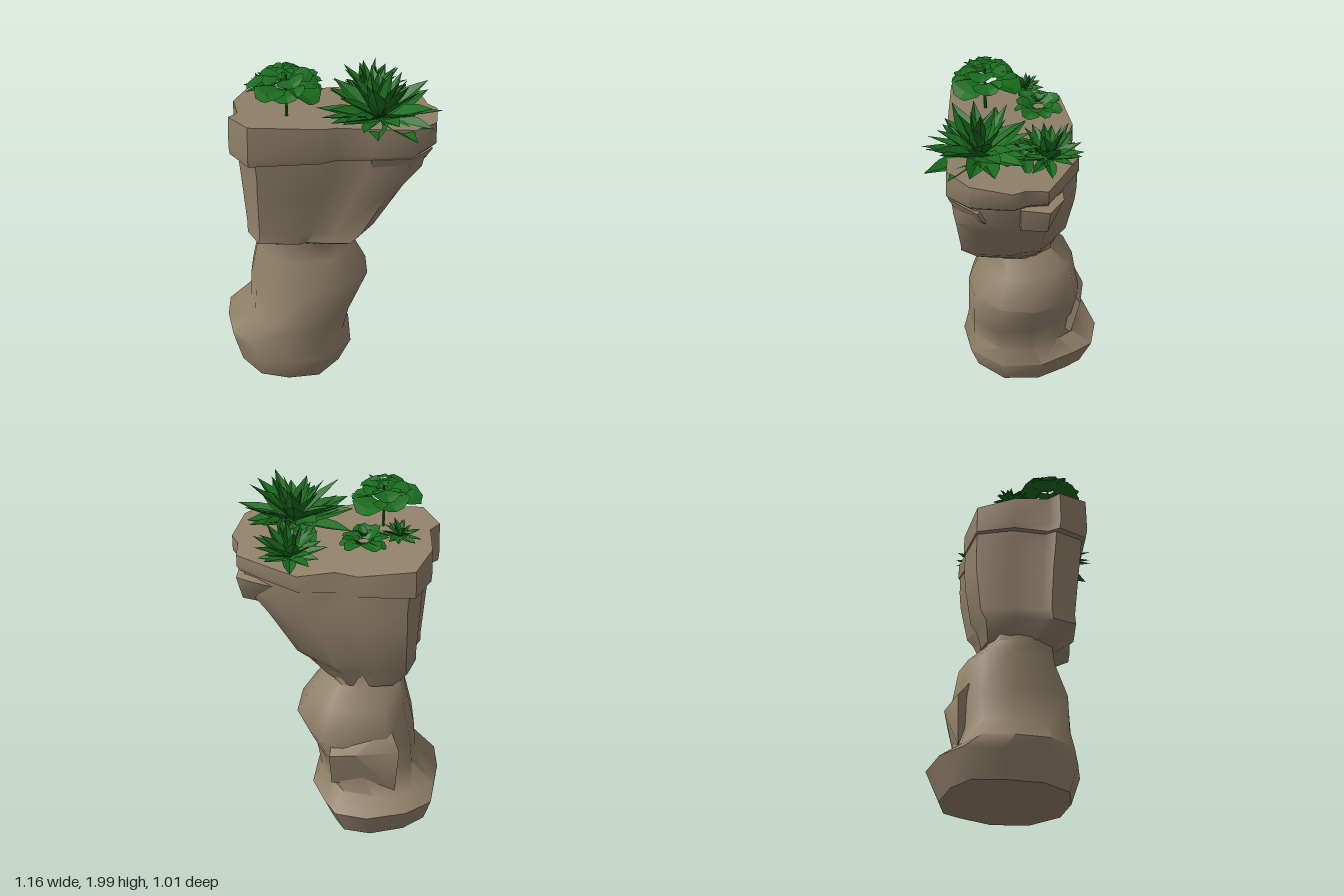
import * as THREE from 'three';
import { mergeGeometries, toCreasedNormals } from 'three/addons/utils/BufferGeometryUtils.js';
import { ConvexGeometry } from 'three/addons/geometries/ConvexGeometry.js';

const stone = new THREE.MeshStandardMaterial({ color: 0x92826a });
stone.name = 'stone';
const leafGreen = new THREE.MeshStandardMaterial({ color: 0x196b1d, flatShading: true, side: THREE.DoubleSide });
leafGreen.name = 'leaf green';

let seed = 7;
function rand() {
  seed = (seed * 16807) % 2147483647;
  return seed / 2147483647;
}

// Outlines as seen from above, counterclockwise, in a -1..1 box
const legOutline = [[-0.94, -0.62], [-1, -0.12], [-0.95, 0.45], [-0.62, 0.88], [-0.1, 1], [0.5, 0.93],
  [0.95, 0.5], [1, -0.1], [0.76, -0.6], [0.58, -0.88], [0.08, -1], [-0.55, -0.88]];
const potOutline = [[-0.78, -0.9], [-0.93, -0.35], [-0.91, 0.18], [-1, 0.34], [-0.84, 0.8], [-0.16, 0.91],
  [-0.03, 0.86], [0.3, 0.94], [0.7, 1], [0.92, 0.7], [1, 0.1], [0.93, -0.1], [0.92, -0.42],
  [0.68, -0.65], [0.32, -0.98], [-0.03, -0.88], [-0.25, -1]];

// Skins a stack of levels: [y, xMin, xMax, zMin, zMax, slope in x, slope in z]
function loft(outline, levels, crease) {
  const n = outline.length, pos = [], index = [];
  for (const [y, x0, x1, z0, z1, sx = 0, sz = 0] of levels) {
    for (const [u, v] of outline) {
      pos.push((x0 + x1) / 2 + u * (x1 - x0) / 2, y + sx * u + sz * v, (z0 + z1) / 2 + v * (z1 - z0) / 2);
    }
  }
  for (let k = 0; k < levels.length - 1; k++) {
    for (let i = 0; i < n; i++) {
      const a = k * n + i, b = k * n + (i + 1) % n;
      index.push(a, b, b + n, a, b + n, a + n);
    }
  }
  // Caps fan out from a centre point
  for (const [k, top] of [[0, false], [levels.length - 1, true]]) {
    const [y, x0, x1, z0, z1] = levels[k], c = pos.length / 3;
    pos.push((x0 + x1) / 2, y, (z0 + z1) / 2);
    for (let i = 0; i < n; i++) {
      const a = k * n + i, b = k * n + (i + 1) % n;
      index.push(c, top ? a : b, top ? b : a);
    }
  }
  const g = new THREE.BufferGeometry();
  g.setAttribute('position', new THREE.Float32BufferAttribute(pos, 3));
  g.setIndex(index);
  return toCreasedNormals(g, crease);
}

// Folded leaf pointing along +x, tilted by pitch and bent by curl
function leaf(length, width, pitch, curl, profile, fold) {
  const pos = [], index = [];
  let x = 0, y = 0;
  profile.forEach((w, i) => {
    const a = pitch + curl * i / 3, half = w * width / 2;
    if (i) {
      x += Math.cos(a) * length / 3;
      y += Math.sin(a) * length / 3;
    }
    const ex = x - Math.sin(a) * half * fold, ey = y + Math.cos(a) * half * fold;
    pos.push(ex, ey, half, x, y, 0, ex, ey, -half);
    if (i < 3) {
      for (const b of [i * 3, i * 3 + 1]) index.push(b, b + 3, b + 4, b, b + 4, b + 1);
    }
  });
  const g = new THREE.BufferGeometry();
  g.setAttribute('position', new THREE.Float32BufferAttribute(pos, 3));
  g.setIndex(index);
  g.computeVertexNormals();
  return g;
}

const pointed = { profile: [0.4, 1, 0.75, 0], fold: 0.4, curl: 0.1 };
const broad = { profile: [0.5, 1, 0.95, 0.4], fold: 0.25, curl: -0.6 };

// Rings of leaves: [count, length, width, pitch, height, start radius]
function rosette(name, [x, y, z], shape, rings) {
  const leaves = [];
  rings.forEach(([count, length, width, pitch, lift = 0, radius = 0], r) => {
    for (let i = 0; i < count; i++) {
      const g = leaf(length * (0.85 + 0.3 * rand()), width * (0.85 + 0.3 * rand()),
        pitch + 0.3 * (rand() - 0.5), shape.curl, shape.profile, shape.fold);
      g.rotateX(0.6 * (rand() - 0.5));
      g.translate(radius, lift, 0);
      g.rotateY((i + r * 0.5 + 0.4 * rand()) * Math.PI * 2 / count);
      leaves.push(g);
    }
  });
  const mesh = new THREE.Mesh(mergeGeometries(leaves), leafGreen);
  mesh.name = name;
  mesh.position.set(x, y, z);
  return mesh;
}

export function createModel() {
  seed = 7;
  const model = new THREE.Group();
  model.name = 'planter';
  const add = (name, geometry, material = stone) => {
    const mesh = new THREE.Mesh(geometry, material);
    mesh.name = name;
    model.add(mesh);
    return mesh;
  };

  // Pedestal with a bulging foot, a knee and a narrow neck
  add('pedestal', loft(legOutline, [
    [0.025, -0.53, 0.07, -0.44, 0.24, -0.025],
    [0.18, -0.57, 0.14, -0.51, 0.29, -0.02, -0.01],
    [0.26, -0.585, 0.09, -0.39, 0.26, -0.01],
    [0.4, -0.45, 0.12, -0.36, 0.26],
    [0.6, -0.44, 0.23, -0.38, 0.26, 0.03, 0.03],
    [0.8, -0.39, 0.14, -0.34, 0.19],
    [0.89, -0.37, 0.06, -0.23, 0.17],
    [1.02, -0.36, 0.1, -0.22, 0.18],
  ], 0.95));

  // Flaring pot
  add('pot', loft(potOutline, [
    [0.9, -0.36, 0.07, -0.23, 0.17],
    [0.99, -0.46, 0.18, -0.26, 0.31],
    [1.05, -0.46, 0.25, -0.29, 0.31],
    [1.3, -0.48, 0.41, -0.32, 0.34],
    [1.42, -0.49, 0.51, -0.32, 0.355],
    [1.55, -0.505, 0.54, -0.32, 0.365],
  ], 0.95));

  // Overhanging rim with a sloping soil top
  add('rim', loft(potOutline, [
    [1.525, -0.54, 0.56, -0.327, 0.38, 0.025],
    [1.56, -0.545, 0.58, -0.327, 0.39, 0.01],
    [1.68, -0.54, 0.58, -0.325, 0.385, -0.025, 0.045],
  ], 0.95));

  // Broken ledges of rock
  const chunk = (name, points) =>
    add(name, toCreasedNormals(new ConvexGeometry(points.map(p => new THREE.Vector3(...p))), 0.8));
  chunk('sideLedge', [[0.53, 1.53, 0.02], [0.54, 1.51, -0.13], [0.45, 1.53, -0.21], [0.51, 1.38, -0.12],
    [0.52, 1.4, 0.02], [0.3, 1.53, 0.05], [0.3, 1.5, -0.22], [0.33, 1.3, -0.05]]);
  chunk('frontLedge', [[0.18, 1.53, 0.36], [0.4, 1.54, 0.38], [0.53, 1.52, 0.24], [0.5, 1.44, 0.2],
    [0.38, 1.45, 0.34], [0.2, 1.42, 0.32], [0.25, 1.5, 0.1]]);
  chunk('backLedge', [[-0.36, 0.56, -0.37], [-0.12, 0.56, -0.415], [0.03, 0.52, -0.38], [0.02, 0.3, -0.33],
    [-0.34, 0.28, -0.36], [-0.3, 0.68, -0.28], [0, 0.68, -0.28], [-0.15, 0.4, -0.1]]);

  // Spiky succulents on the left half
  model.add(rosette('largeSpikyPlant', [0.25, 1.69, 0.2], pointed, [
    [10, 0.31, 0.12, 0.08], [11, 0.31, 0.12, 0.28], [9, 0.29, 0.11, 0.52], [7, 0.27, 0.09, 0.85], [5, 0.25, 0.08, 1.2],
  ]));
  model.add(rosette('backSpikyPlant', [0.25, 1.65, -0.15], pointed, [
    [9, 0.2, 0.075, 0.0], [10, 0.2, 0.075, 0.35], [8, 0.2, 0.07, 0.7], [6, 0.19, 0.06, 1.1],
  ]));
  model.add(rosette('middlePlant', [0.25, 1.68, -0.02], broad, [
    [7, 0.12, 0.07, 0.35], [6, 0.1, 0.06, 0.8],
  ]));

  // Broad and small succulents on the right half
  model.add(rosette('largeBroadPlant', [-0.235, 1.88, 0.14], broad, [
    [7, 0.13, 0.18, 0.2, 0, 0.06], [6, 0.1, 0.14, 0.3, 0.05, 0.04], [5, 0.05, 0.05, 0.3, 0.1, 0.02],
  ]));
  model.add(rosette('smallBroadPlant', [-0.14, 1.75, -0.14], broad, [
    [7, 0.1, 0.1, 0.3, 0, 0.03], [6, 0.09, 0.09, 0.8, 0, 0.03], [4, 0.06, 0.05, 1.1, 0.03],
  ]));
  model.add(rosette('smallSpikyPlant', [-0.33, 1.76, -0.09], pointed, [
    [9, 0.11, 0.045, 0.1], [8, 0.1, 0.04, 0.5], [5, 0.1, 0.035, 1.0],
  ]));
  add('plantStem', new THREE.CylinderGeometry(0.006, 0.009, 0.26, 6), leafGreen).position.set(-0.235, 1.81, 0.14);

  return model;
}
